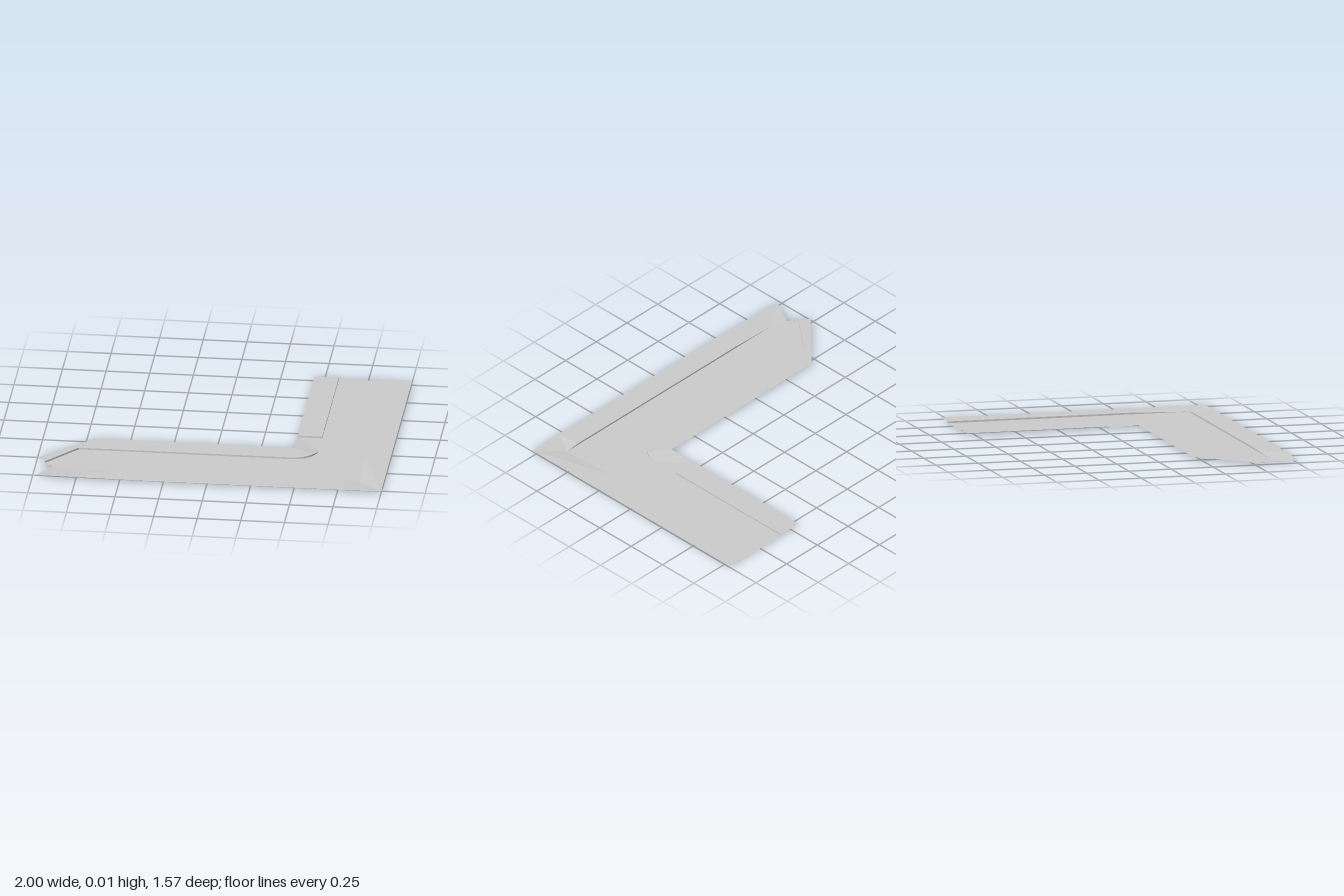
import * as THREE from 'three';

const H = 0.01; // raised height of the pavements
const material = new THREE.MeshStandardMaterial({ color: 0xcccccc, side: THREE.DoubleSide });

// Sweeps two strips along stations [outerX, outerZ, curbX, curbZ, outerY, curbY]:
// the walking surface, then the vertical curb down to the road.
function pavement(name, stations) {
  const pos = [];
  const quad = (a, b, c, d) => pos.push(...a, ...b, ...c, ...c, ...b, ...d);
  const section = ([ox, oz, cx, cz, oy, cy]) => [[ox, oy, oz], [cx, cy, cz], [cx, 0, cz]];
  for (let i = 0; i < stations.length - 1; i++) {
    const s = section(stations[i]);
    const t = section(stations[i + 1]);
    quad(s[0], s[1], t[0], t[1]);
    if (stations[i][5] > 0 || stations[i + 1][5] > 0) quad(s[1], s[2], t[1], t[2]);
  }
  const geometry = new THREE.BufferGeometry();
  geometry.setAttribute('position', new THREE.Float32BufferAttribute(pos, 3));
  geometry.computeVertexNormals();
  const mesh = new THREE.Mesh(geometry, material);
  mesh.name = name;
  return mesh;
}

export function createModel() {
  const group = new THREE.Group();
  group.name = 'roadCorner';

  // Rounded inner corner of the curb
  const arc = [];
  for (let i = 0; i <= 10; i++) {
    const a = (i / 10) * Math.PI / 2;
    arc.push([0.44 + 0.14 * Math.sin(a), 0.22 + 0.14 * Math.cos(a)]);
  }

  // Road surface
  const outline = [
    [-0.95, 0.57], [-0.9, 0.61], [-0.8, 0.64], [0.86, 0.64], [0.86, -0.79], [0.58, -0.79],
    ...[...arc].reverse(), [-0.78, 0.36],
  ];
  const shape = new THREE.Shape(outline.map(([x, z]) => new THREE.Vector2(x, -z)));
  const road = new THREE.Mesh(new THREE.ShapeGeometry(shape).rotateX(-Math.PI / 2), material);
  road.name = 'roadSurface';
  group.add(road);

  // Inner pavement: slanted end, long side, corner dropping to a ramp, then the far arm
  group.add(pavement('innerPavement', [
    [-1, 0.52, -0.95, 0.57, H, H],
    [-0.7, 0.22, -0.78, 0.36, H, H],
    ...arc.map(([x, z], i) => {
      const y = H * Math.min(1, (10 - i) / 4);
      return [0.44, 0.22, x, z, H, y];
    }),
    [0.44, 0.05, 0.58, 0.05, 0, 0],
    [0.44, 0.05, 0.58, 0.05, H, H],
    [0.44, -0.79, 0.58, -0.79, H, H],
  ]));

  // Outer pavement: its curb dips at the corner and at the open end
  group.add(pavement('outerPavement', [
    [1, -0.79, 0.86, -0.79, H, H],
    [1, 0.31, 0.86, 0.31, H, H],
    [1, 0.78, 0.86, 0.64, H, 0],
    [0.78, 0.78, 0.78, 0.64, H, H],
    [-0.4, 0.78, -0.5, 0.64, H, H],
    [-0.76, 0.773, -0.8, 0.64, H, 0],
    [-0.98, 0.767, -0.9, 0.61, H, 0],
  ]));

  return group;
}
